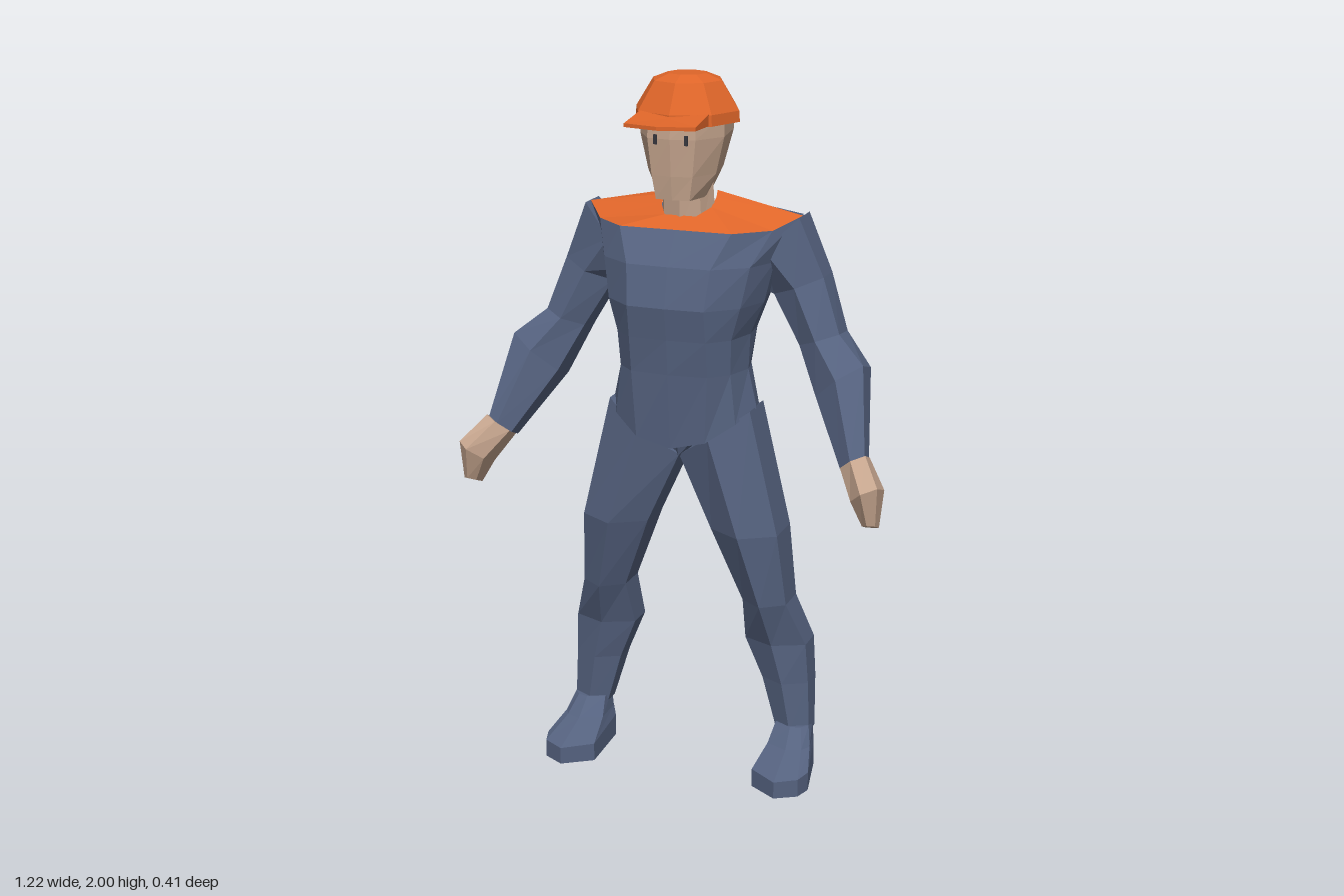
import * as THREE from 'three';

const paint = (name, color) => {
  const m = new THREE.MeshStandardMaterial({ color, flatShading: true });
  m.name = name;
  return m;
};

// Skin a stack of rings, listed bottom to top, each running front -> +x -> back.
function loft(name, rings, material, closed = true) {
  const pos = [];
  const tri = (...p) => p.forEach(v => pos.push(...v));
  const n = rings[0].length;
  for (let k = 0; k < rings.length - 1; k++) {
    const lo = rings[k], hi = rings[k + 1];
    for (let i = 0; i < (closed ? n : n - 1); i++) {
      const j = (i + 1) % n;
      tri(lo[i], lo[j], hi[j]);
      tri(lo[i], hi[j], hi[i]);
    }
  }
  if (closed) {
    [rings[0], rings[rings.length - 1]].forEach((r, top) => {
      const c = [0, 1, 2].map(a => r.reduce((s, p) => s + p[a], 0) / n);
      r.forEach((p, i) => {
        const q = r[(i + 1) % n];
        top ? tri(c, p, q) : tri(c, q, p);
      });
    });
  }
  const g = new THREE.BufferGeometry();
  g.setAttribute('position', new THREE.Float32BufferAttribute(pos, 3));
  g.computeVertexNormals();
  const mesh = new THREE.Mesh(g, material);
  mesh.name = name;
  return mesh;
}

// Elliptical ring, sheared by slopes so it can sit square to a slanting limb.
function ring(cx, cy, cz, rx, rz, slopeX = 0, slopeZ = 0, n = 6) {
  return Array.from({ length: n }, (_, i) => {
    const t = i * 2 * Math.PI / n;
    const x = rx * Math.sin(t), z = rz * Math.cos(t);
    return [cx + x, cy + x * slopeX + z * slopeZ, cz + z];
  });
}

const flip = ([x, y, z]) => [-x, y, z];
const mirrorRing = r => [r[0], ...r.slice(1).reverse()].map(flip);
// Complete a half ring that starts and ends on the centre line.
const whole = half => [...half, ...half.slice(1, -1).reverse().map(flip)];
const level = (y, pts) => whole(pts.map(([x, z]) => [x, y, z]));

export function createModel() {
  const model = new THREE.Group();
  model.name = 'figure';
  const navy = paint('navy cloth', 0x55627f);
  const orange = paint('orange cloth', 0xde6529);
  const skin = paint('skin', 0xc4a48d);
  const dark = paint('dark eyes', 0x35353d);
  const add = (...a) => model.add(loft(...a));

  // Torso, from the pointed hem up to the shoulder line
  add('torso', [
    whole([[0, .985, .1], [.1, 1.01, .1], [.175, 1.06, .06], [.21, 1.09, -.02],
      [.19, 1.08, -.1], [.1, 1.03, -.15], [0, 1, -.15]]),
    level(1.2, [[0, .12], [.11, .11], [.16, .06], [.185, -.02], [.17, -.09], [.09, -.13], [0, -.12]]),
    level(1.3, [[0, .13], [.11, .125], [.165, .07], [.19, -.02], [.18, -.11], [.1, -.15], [0, -.14]]),
    level(1.39, [[0, .145], [.11, .14], [.19, .07], [.225, -.03], [.21, -.13], [.11, -.18], [0, -.175]]),
    level(1.5, [[0, .12], [.12, .115], [.21, .05], [.25, -.04], [.25, -.14], [.16, -.198], [0, -.205]]),
    whole([[0, 1.59, .06], [.16, 1.59, .06], [.25, 1.59, -.02], [.31, 1.62, -.1],
      [.29, 1.61, -.17], [.2, 1.605, -.2], [0, 1.615, -.185]]),
  ], navy);

  // Crotch between the legs
  add('crotch', [
    level(.945, [[0, .035], [.012, .02], [.012, -.08], [0, -.09]]),
    level(1.06, [[0, .075], [.1, .06], [.1, -.11], [0, -.125]]),
  ], navy);

  // Collar over the front of the shoulders, yoke over the back, nape between
  const both = half => [...mirrorHalf(half), ...half];
  const back = half => [...half, ...mirrorHalf(half.slice(0, -1))];
  function mirrorHalf(half) { return [...half].reverse().map(flip); }
  add('collar', [
    both([[.16, 1.59, .06], [.25, 1.59, -.02], [.31, 1.62, -.1], [.11, 1.657, -.12]]),
    both([[.045, 1.622, .02], [.072, 1.64, -.03], [.072, 1.66, -.07], [.065, 1.674, -.1]]),
  ], orange, false);
  const yokeTop = back([[.11, 1.657, -.12], [.09, 1.65, -.14], [.05, 1.647, -.153], [0, 1.647, -.155]]);
  add('yoke', [
    back([[.31, 1.62, -.1], [.29, 1.61, -.17], [.2, 1.605, -.2], [0, 1.615, -.185]]), yokeTop,
  ], navy, false);
  add('nape', [
    yokeTop, back([[.065, 1.674, -.1], [.05, 1.674, -.11], [.03, 1.674, -.115], [0, 1.674, -.115]]),
  ], orange, false);

  // Neck and head
  add('neck', [ring(0, 1.58, -.05, .078, .072, 0, 0, 8), ring(0, 1.73, -.045, .07, .075, 0, 0, 8)], skin);
  add('head', [
    level(1.675, [[0, .083], [.048, .078], [.066, .01], [.05, -.09], [0, -.105]]),
    level(1.74, [[0, .092], [.058, .083], [.097, .005], [.076, -.115], [0, -.13]]),
    level(1.84, [[0, .1], [.068, .088], [.12, .005], [.1, -.13], [0, -.168]]),
    level(1.9, [[0, .095], [.068, .085], [.12, .005], [.1, -.13], [0, -.168]]),
  ], skin);

  // Cap and its peak
  const capRing = (y, r) => ring(0, y, -.037, r, r * .96, 0, 0, 8);
  add('cap', [capRing(1.875, .149), capRing(1.905, .147), capRing(1.983, .098), capRing(2, .055)], orange);
  const peak = (tip, root) => whole([[0, tip, .2], [.1, tip, .175], [.097, root, .06], [0, root, .04]]);
  add('capPeak', [peak(1.88, 1.876), peak(1.89, 1.908)], orange);

  const arm = [
    ring(.517, .99, .068, .039, .045, .6, .4),
    ring(.447, 1.18, -.05, .076, .08, .75, .3),
    ring(.374, 1.285, -.1, .065, .082, .35, .1),
    ring(.307, 1.43, -.12, .081, .082, .4, 0),
    ring(.225, 1.535, -.11, .099, .094, 1, 0),
  ];
  const hand = [
    ring(.584, .84, .135, .021, .04, .1, .4),
    ring(.572, .925, .13, .042, .074, .6, .35),
    ring(.52, .995, .075, .04, .047, .6, .4),
  ];
  const leg = [
    ring(.312, .12, -.095, .058, .054),
    ring(.288, .27, -.105, .079, .073),
    ring(.26, .39, -.1, .104, .081),
    ring(.242, .525, -.055, .074, .096),
    ring(.192, .74, -.03, .112, .12),
    ring(.103, 1.02, -.03, .119, .118, .7, 0),
  ];
  const sole = [[.325, .145], [.385, .11], [.4, .06], [.365, -.11], [.345, -.16], [.28, -.16], [.25, -.1], [.242, .09]];
  const instep = [[.315, -.035], [.345, -.045], [.362, -.065], [.358, -.12], [.335, -.15], [.29, -.15], [.265, -.11], [.265, -.055]];
  const shoe = [
    sole.map(([x, z]) => [x, 0, z]),
    sole.map(([x, z]) => [x, .058 - z * .06, z]),
    instep.map(([x, z], i) => [.6 * x + .4 * sole[i][0], .092, .7 * z + .3 * sole[i][1]]),
    instep.map(([x, z]) => [x, .14, z]),
  ];

  // Limbs and eyes on both sides
  for (const [side, s] of [['left', 1], ['right', -1]]) {
    const limb = (name, rings, mat) => add(side + name, s > 0 ? rings : rings.map(mirrorRing), mat);
    limb('Arm', arm, navy);
    limb('Hand', hand, skin);
    limb('Leg', leg, navy);
    limb('Shoe', shoe, navy);
    const eye = new THREE.Mesh(new THREE.BoxGeometry(.01, .026, .008), dark);
    eye.name = side + 'Eye';
    eye.position.set(s * .043, 1.838, .092);
    eye.rotation.y = s * .17;
    model.add(eye);
  }
  return model;
}
